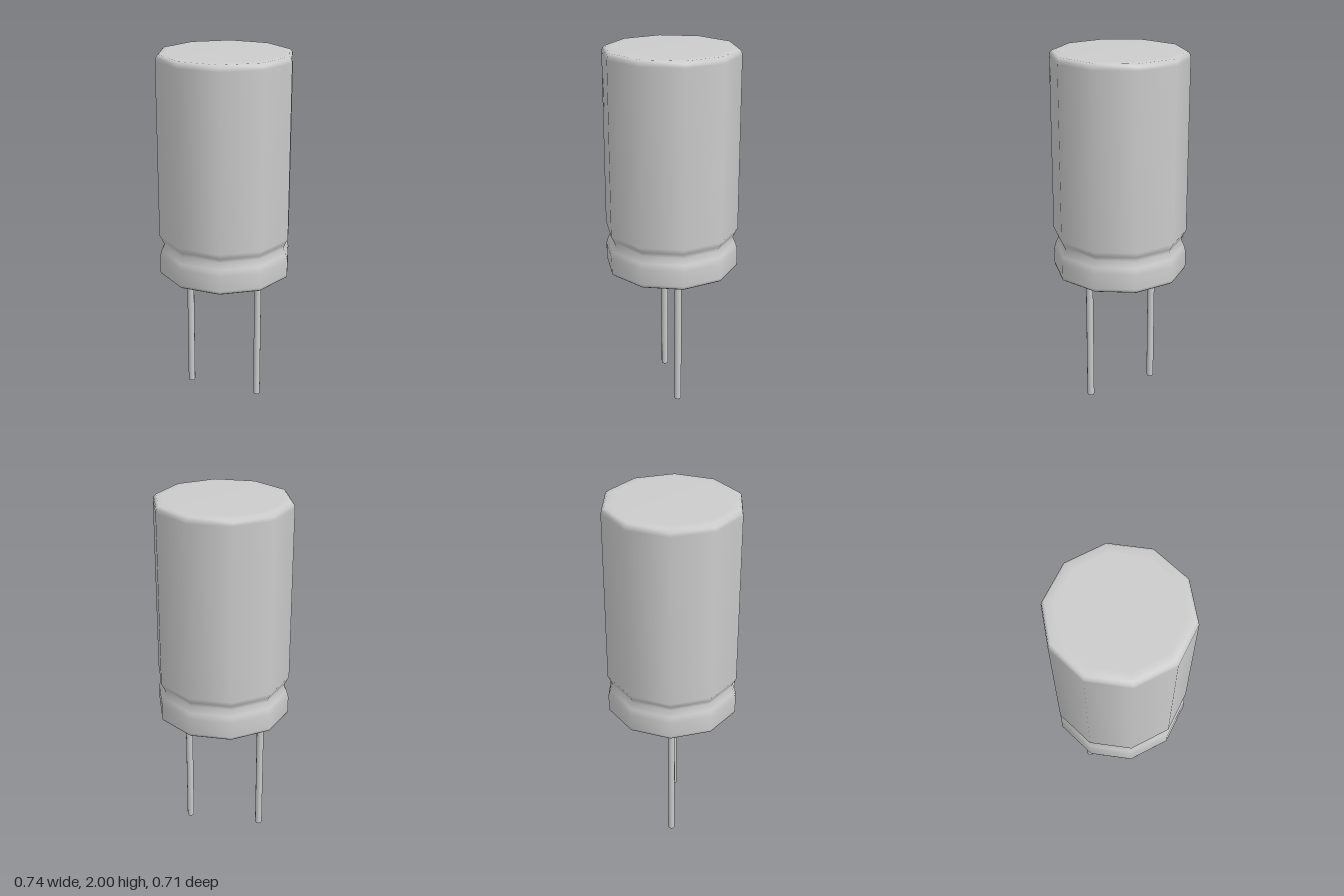
import * as THREE from 'three';

const material = new THREE.MeshStandardMaterial({ color: 0xcccccc });

// Ten-sided lathe with corners on the x axis and smooth normals
function turned(name, profile, sides = 10) {
  const points = profile.map(([r, y]) => new THREE.Vector2(r, y));
  const mesh = new THREE.Mesh(new THREE.LatheGeometry(points, sides, Math.PI / 2), material);
  mesh.name = name;
  return mesh;
}

export function createModel() {
  const model = new THREE.Group();
  model.name = 'capacitor';

  // Can: rounded base rim, crimped groove, straight wall, softened top
  model.add(turned('can', [
    [0.358, 0.768], [0.369, 0.776], [0.372, 0.79], [0.372, 0.875],
    [0.362, 0.91], [0.346, 0.945], [0.356, 0.97], [0.372, 1.002],
    [0.372, 1.965], [0.368, 1.985], [0.355, 1.998], [0.31, 2], [0, 2],
  ]));

  // Flat seal closing the underside
  model.add(turned('baseSeal', [[0, 0.768], [0.358, 0.768]]));

  // Wire leads with slightly chamfered tips
  for (const [name, x] of [['rightLead', -0.217], ['leftLead', 0.2]]) {
    const lead = new THREE.Group();
    lead.name = name;
    lead.add(
      turned('wire', [[0.016, 0], [0.02, 0.006], [0.02, 0.78]]),
      turned('wireTip', [[0, 0], [0.016, 0]]),
    );
    lead.position.x = x;
    model.add(lead);
  }
  return model;
}
